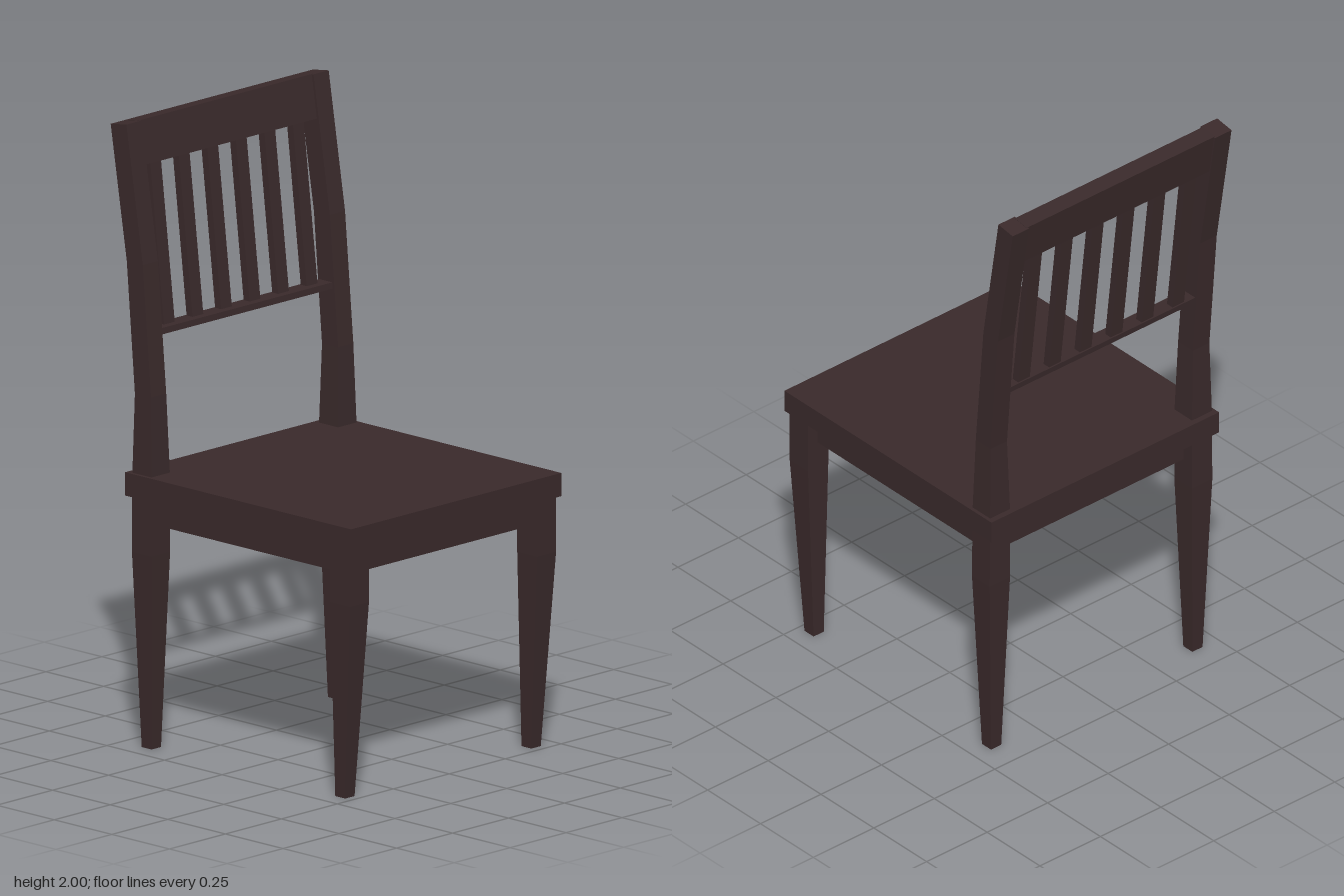
import * as THREE from 'three';

const wood = new THREE.MeshStandardMaterial({ color: 0x3a2a2b });
wood.name = 'darkWood';

// Four-sided loft: each section is [y, xMin, xMax, zBack, zFront, (back y drop)]
function loft(name, sections) {
  const n = sections.length - 1;
  const box = new THREE.BoxGeometry(1, 1, 1, 1, n, 1);
  const p = box.attributes.position;
  for (let i = 0; i < p.count; i++) {
    const [y, x0, x1, z0, z1, drop = 0] = sections[Math.round((p.getY(i) + 0.5) * n)];
    const back = p.getZ(i) < 0;
    p.setXYZ(i, p.getX(i) < 0 ? x0 : x1, back ? y - drop : y, back ? z0 : z1);
  }
  const geometry = box.toNonIndexed();
  geometry.computeVertexNormals();
  const mesh = new THREE.Mesh(geometry, wood);
  mesh.name = name;
  return mesh;
}

// Swap the x range to the other side of the chair
const mirror = (sections) => sections.map(([y, x0, x1, ...rest]) => [y, -x1, -x0, ...rest]);

export function createModel() {
  const chair = new THREE.Group();
  chair.name = 'chair';

  // Seat board and the frame beneath it
  chair.add(loft('seat', [[0.81, -0.47, 0.47, -0.45, 0.53], [0.885, -0.47, 0.47, -0.45, 0.53]]));
  chair.add(loft('apron', [[0.72, -0.42, 0.42, -0.39, 0.475], [0.81, -0.42, 0.42, -0.39, 0.475]]));

  // Tapered front legs
  const frontLeg = [
    [0, 0.395, 0.437, 0.43, 0.473],
    [0.63, 0.376, 0.46, 0.43, 0.517],
    [0.81, 0.376, 0.46, 0.43, 0.517],
  ];
  // Back legs run on upward as the raked back posts
  const backLeg = [
    [0, 0.395, 0.437, -0.41, -0.367],
    [0.63, 0.376, 0.46, -0.43, -0.346],
    [0.885, 0.376, 0.458, -0.43, -0.347],
    [1.14, 0.384, 0.452, -0.425, -0.355],
    [1.56, 0.384, 0.452, -0.46, -0.391],
    [2, 0.384, 0.452, -0.53, -0.462, 0.01],
  ];
  chair.add(loft('leftFrontLeg', frontLeg), loft('rightFrontLeg', mirror(frontLeg)));
  chair.add(loft('leftBackLeg', backLeg), loft('rightBackLeg', mirror(backLeg)));

  // Rails between the posts
  chair.add(loft('topRail', [
    [1.86, -0.39, 0.39, -0.503, -0.447, 0.008],
    [2, -0.39, 0.39, -0.525, -0.469, 0.008],
  ]));
  chair.add(loft('lowerRail', [
    [1.325, -0.39, 0.39, -0.434, -0.378],
    [1.345, -0.39, 0.39, -0.436, -0.38],
  ]));

  // Six slats leaning with the back
  for (let i = 0; i < 6; i++) {
    const x = (i - 2.5) * 0.1275;
    chair.add(loft('slat' + (i + 1), [
      [1.34, x - 0.024, x + 0.024, -0.43, -0.404],
      [1.87, x - 0.024, x + 0.024, -0.492, -0.466],
    ]));
  }
  return chair;
}
